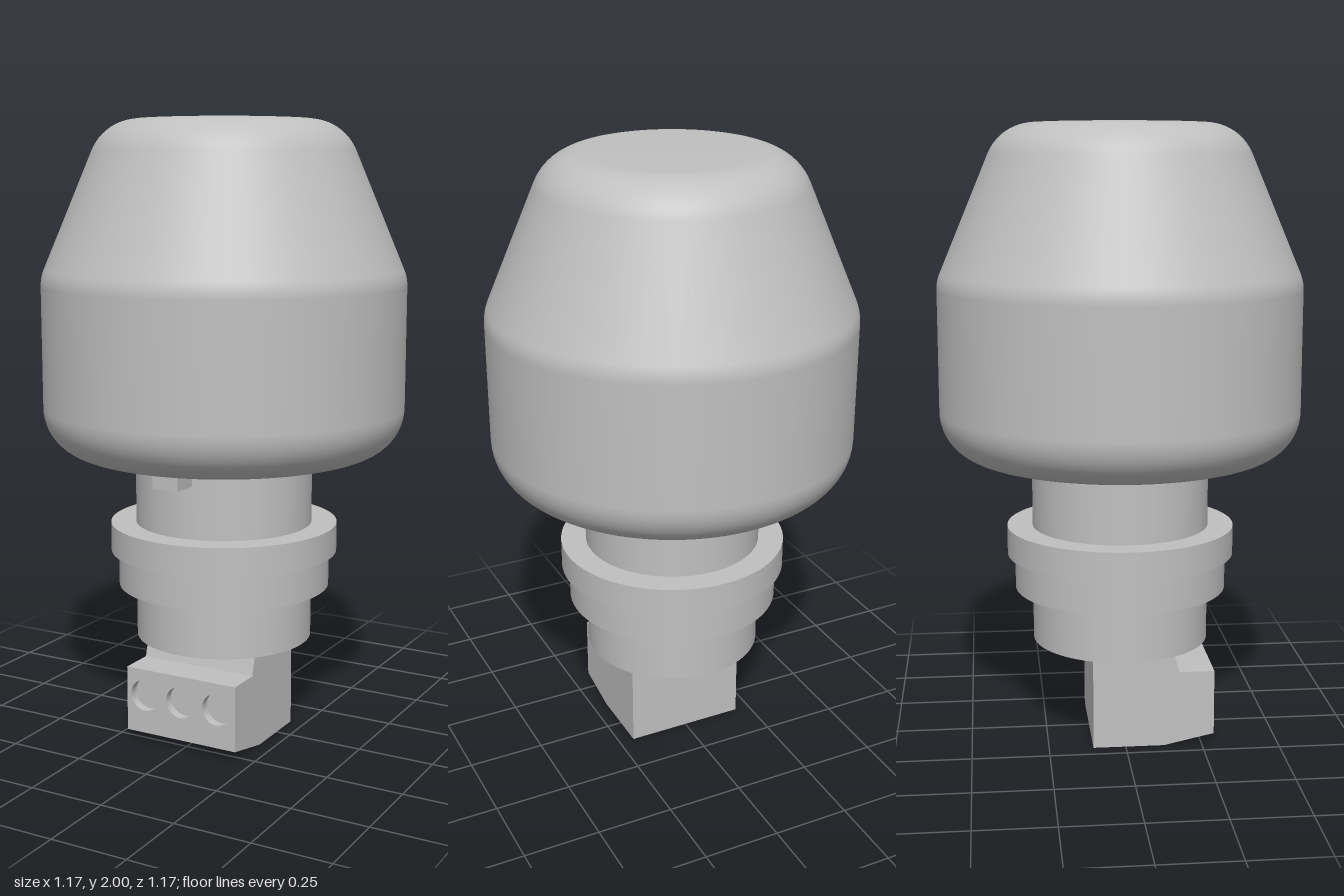
import * as THREE from 'three';

const grey = new THREE.MeshStandardMaterial({ color: 0xc0c0c0 });
grey.name = 'plain grey';

function part(group, name, geometry) {
  const mesh = new THREE.Mesh(geometry, grey);
  mesh.name = name;
  group.add(mesh);
  return mesh;
}

const polygon = (points) => new THREE.Shape(points.map(([x, y]) => new THREE.Vector2(x, y)));

const extrude = (shape, depth) =>
  new THREE.ExtrudeGeometry(shape, { depth, bevelEnabled: false, curveSegments: 24 });

// Rectangle outline from two corners
const rect = (x0, y0, x1, y1) => polygon([[x0, y0], [x1, y0], [x1, y1], [x0, y1]]);

// Points along an arc, angles in degrees
function arc(cx, cy, r, from, to, steps) {
  return Array.from({ length: steps + 1 }, (_, i) => {
    const a = THREE.MathUtils.degToRad(from + ((to - from) * i) / steps);
    return new THREE.Vector2(cx + r * Math.cos(a), cy + r * Math.sin(a));
  });
}

export function createModel() {
  const model = new THREE.Group();
  model.name = 'buttonWithTerminal';

  // Rounded, tapered head
  const profile = [
    new THREE.Vector2(0, 0.935),
    new THREE.Vector2(0.3, 0.935),
    ...arc(0.43, 1.09, 0.155, -90, 0, 14),
    ...arc(0.455, 1.48, 0.13, 0, 23, 5),
    ...arc(0.27, 1.84, 0.16, 23, 90, 12),
    new THREE.Vector2(0, 2),
  ];
  part(model, 'head', new THREE.LatheGeometry(profile, 96));

  // Neck and its two collars: name, radius, bottom, top
  for (const [name, r, y0, y1] of [
    ['neck', 0.289, 0.32, 0.94],
    ['lowerCollar', 0.347, 0.495, 0.61],
    ['upperCollar', 0.372, 0.61, 0.705],
  ]) {
    part(model, name, new THREE.CylinderGeometry(r, r, y1 - y0, 96)).position.y = (y0 + y1) / 2;
  }

  // Locating tab under the head
  part(model, 'locatingTab', new THREE.BoxGeometry(0.09, 0.07, 0.175)).position.set(0, 0.91, 0.287);

  // Terminal block, with room for the plates that carry its recesses
  const terminal = new THREE.Group();
  terminal.name = 'terminalBlock';
  model.add(terminal);
  const back = -0.106, slopeStart = 0.125, front = 0.29, inner = 0.26;
  const core = polygon([
    [back, 0.1], [slopeStart, 0.1], [slopeStart, 0], [inner, 0.029],
    [inner, 0.25], [0.175, 0.25], [0.155, 0.322], [back, 0.322],
  ]);
  part(terminal, 'terminalCore', extrude(core, 0.4).rotateY(-Math.PI / 2).translate(0.2, 0, 0));

  // Front plate with round screw recesses, base plate with wire openings
  const frontShape = rect(-0.2, 0.035, 0.2, 0.25);
  const baseShape = rect(-0.2, -slopeStart, 0.2, -back);
  for (const x of [-0.133, 0, 0.133]) {
    frontShape.holes.push(new THREE.Path().absarc(x, 0.162, 0.052, 0, Math.PI * 2, true));
    baseShape.holes.push(rect(x - 0.045, -0.095, x + 0.045, 0.045));
  }
  const frontGeometry = extrude(frontShape, front - inner).translate(0, 0, inner);
  // Carry the sloping underside through the front plate
  const p = frontGeometry.attributes.position;
  for (let i = 0; i < p.count; i++) {
    if (p.getY(i) < 0.04 && p.getZ(i) < inner + 0.001) p.setY(i, 0.029);
  }
  frontGeometry.computeVertexNormals();
  part(terminal, 'screwPlate', frontGeometry);
  part(terminal, 'wireEntryPlate', extrude(baseShape, 0.1).rotateX(-Math.PI / 2));

  return model;
}
